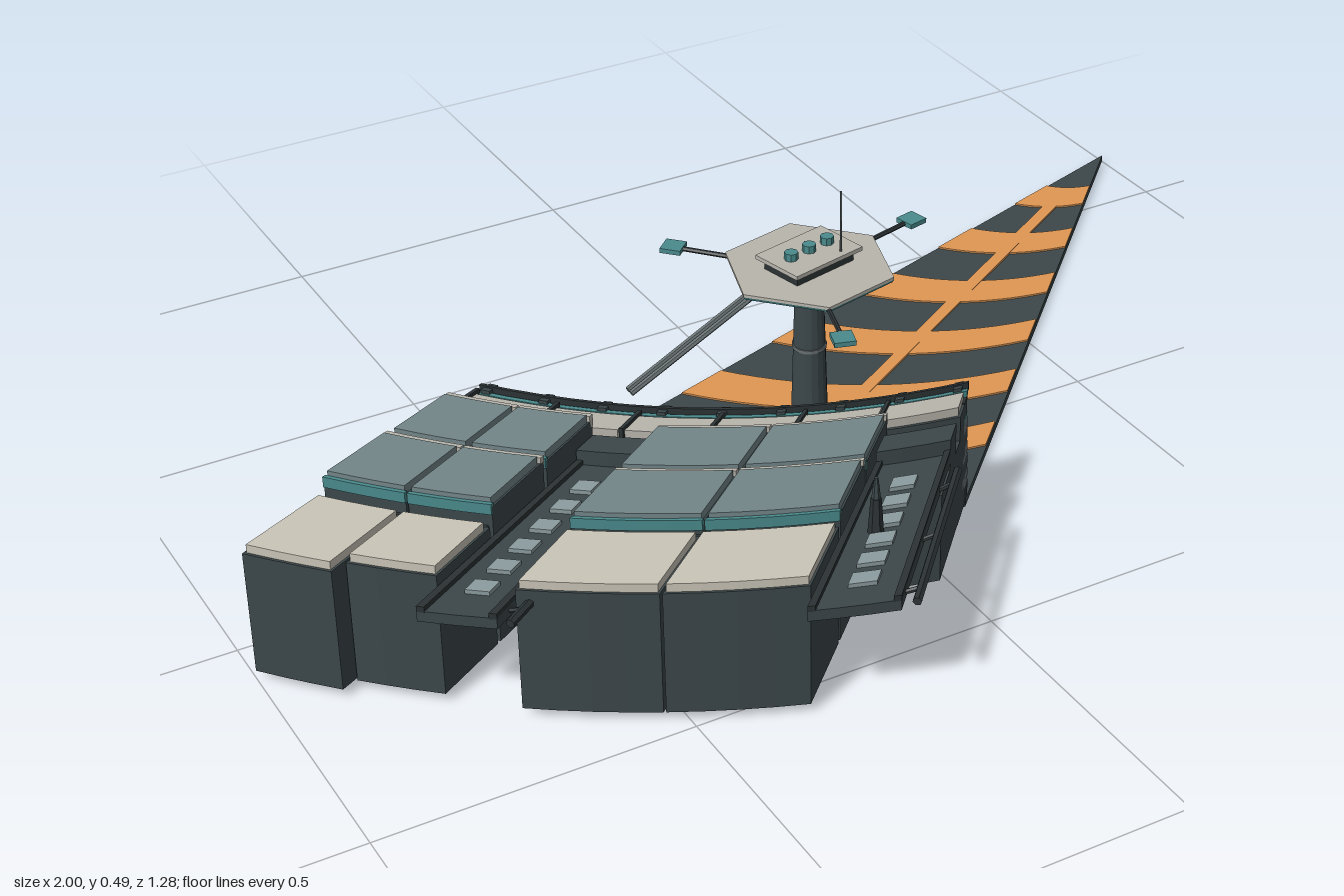
import * as THREE from 'three';

const C = { slate: 0x3c474a, dark: 0x2c3335, mid: 0x687072, light: 0xb9b5ad, beige: 0xcac5b8,
  glass: 0x738689, teal: 0x4a8a8c, orange: 0xdf9753, pane: 0x8c9c9f };
const mats = {};
const mat = c => mats[c] ??= new THREE.MeshStandardMaterial({ color: C[c], flatShading: true });

// Ground plan: u runs along the curved front, v runs outward from it
const apex = [1, -0.645];
const mix = (a, b, t) => [a[0] + (b[0] - a[0]) * t, a[1] + (b[1] - a[1]) * t];
function plan(u, v) {
  const p = mix(mix([-0.51, -0.155], [0.14, 0.214], u), mix([-1, 0.08], [-0.22, 0.605], u), v);
  const k = 4 * u * (1 - u);
  return [p[0] - 0.037 * k, p[1] + 0.065 * k];
}
// Floor plan: s runs from the pointed tip to the curved front
const floorPlan = (u, s) => mix(apex, plan(u, 0), s);

// Curved solid over a patch of a plan, between heights y0 and y1
function patch(parent, name, color, [u0, u1], [v0, v1], [y0, y1], f = plan) {
  const n = Math.max(1, Math.ceil((u1 - u0) * 16)), pos = [];
  const at = (i, v, y) => { const p = f(u0 + (u1 - u0) * i / n, v); return [p[0], y, p[1]]; };
  const quad = (a, b, c, d) => pos.push(...a, ...b, ...c, ...a, ...c, ...d);
  for (let i = 0; i < n; i++) {
    const j = i + 1;
    quad(at(i, v0, y1), at(i, v1, y1), at(j, v1, y1), at(j, v0, y1));
    quad(at(i, v0, y0), at(j, v0, y0), at(j, v1, y0), at(i, v1, y0));
    quad(at(i, v1, y0), at(j, v1, y0), at(j, v1, y1), at(i, v1, y1));
    quad(at(i, v0, y0), at(i, v0, y1), at(j, v0, y1), at(j, v0, y0));
  }
  quad(at(0, v0, y0), at(0, v1, y0), at(0, v1, y1), at(0, v0, y1));
  quad(at(n, v0, y0), at(n, v0, y1), at(n, v1, y1), at(n, v1, y0));
  const g = new THREE.BufferGeometry();
  g.setAttribute('position', new THREE.Float32BufferAttribute(pos, 3));
  g.computeVertexNormals();
  return mesh(parent, name, color, g);
}
function mesh(parent, name, color, geo, x = 0, y = 0, z = 0) {
  const m = new THREE.Mesh(geo, mat(color));
  m.name = name;
  m.position.set(x, y, z);
  parent.add(m);
  return m;
}
// Straight round bar between two points
function rod(parent, name, color, a, b, r) {
  const p = new THREE.Vector3(...a), q = new THREE.Vector3(...b), d = q.clone().sub(p);
  const m = mesh(parent, name, color, new THREE.CylinderGeometry(r, r, d.length(), 6));
  m.position.copy(p).add(q).multiplyScalar(0.5);
  m.quaternion.setFromUnitVectors(new THREE.Vector3(0, 1, 0), d.normalize());
  return m;
}
function group(parent, name) {
  const g = new THREE.Group();
  g.name = name;
  parent.add(g);
  return g;
}

// Pointed floor with painted arcs and a centre line
function addFloor(root) {
  const g = group(root, 'floor');
  patch(g, 'floorSlab', 'slate', [0, 1], [0.001, 1.01], [0, 0.013], floorPlan);
  for (let i = 0; i < 6; i++) {
    const s = 0.875 - 0.141 * i;
    patch(g, 'floorStripe', 'orange', [0.003, 0.997], [s - 0.06, s], [0.012, 0.016], floorPlan);
  }
  const a = floorPlan(0.5, 0.12), b = floorPlan(0.5, 0.74);
  const line = mesh(g, 'floorCentreLine', 'orange',
    new THREE.BoxGeometry(Math.hypot(b[0] - a[0], b[1] - a[1]), 0.004, 0.022),
    (a[0] + b[0]) / 2, 0.0145, (a[1] + b[1]) / 2);
  line.rotation.y = -Math.atan2(b[1] - a[1], b[0] - a[0]);
}

// Stepped curved front facing the floor
function addTerraces(root) {
  const g = group(root, 'terraces');
  const bands = [[0.013, 0.045, 'dark'], [0.045, 0.07, 'mid'], [0.07, 0.1, 'slate'], [0.1, 0.125, 'mid'],
    [0.125, 0.155, 'slate'], [0.155, 0.175, 'mid'], [0.175, 0.185, 'teal'], [0.185, 0.215, 'dark']];
  bands.forEach(([y0, y1, c], i) => patch(g, 'terrace', c, [0, 1], [0.007 * i, 0.09], [y0, y1]));
  patch(g, 'rimRail', 'dark', [0, 1], [0.025, 0.035], [0.22, 0.235]);
  patch(g, 'rimTrim', 'teal', [0, 1], [0.04, 0.055], [0.215, 0.226]);
  for (let i = 0; i < 9; i++) {
    const u = 0.01 + i * 0.12;
    patch(g, 'rimPost', 'slate', [u, u + 0.018], [0.01, 0.05], [0.185, 0.232]);
  }
}

// Building rows with roof tiles on top
function addBuildings(root) {
  const g = group(root, 'buildings');
  const wings = [
    { cuts: [0, 0.145, 0.29], ends: [1, 0.95], lift: 0.012 },
    { cuts: [0.415, 0.635, 0.86], ends: [0.98, 0.98], lift: 0 }
  ];
  const rows = [[0.17, 0.41, 0.236, 'glass'], [0.425, 0.68, 0.24, 'glass'], [0.695, 1, 0.222, 'beige']];
  patch(g, 'frontRow', 'slate', [0, 1], [0.06, 0.16], [0.013, 0.213]);
  for (let i = 0; i < 6; i++) {
    const u = i / 6;
    patch(g, 'frontRoof', 'light', [u + 0.006, u + 1 / 6 - 0.006], [0.065, 0.15], [0.21, 0.228]);
    patch(g, 'frontRoofRib', 'dark', [u, u + 0.008], [0.05, 0.16], [0.21, 0.234]);
  }
  for (const { cuts, ends, lift } of wings) {
    patch(g, 'wingCore', 'dark', [cuts[0] + 0.012, cuts[2] - 0.012], [0.15, 0.9], [0.02, 0.22]);
    rows.forEach(([v0, v1, top, c], r) => {
      const h = r < 2 ? top + lift : top;
      for (let k = 0; k < 2; k++) {
        const end = r === 2 ? ends[k] : v1;
        const a = cuts[k], b = cuts[k + 1] - 0.004;
        patch(g, 'wingBlock', 'slate', [a, b], [v0, end], [0.015, h]);
        patch(g, 'roofTile', c, [a + 0.004, b - 0.004], [v0 + 0.018, end - 0.008], [h - 0.005, h + 0.014]);
        if (r < 2) {
          patch(g, 'roofTrim', 'light', [a, b], [v0 - 0.004, v0 + 0.012], [h - 0.01, h + 0.01]);
          patch(g, 'roofEdge', 'teal', [a, b], [v1 - 0.008, v1 + 0.004], [h - 0.012, h + 0.006]);
        }
      }
    });
  }
  // Recessed blocks beneath the decks
  patch(g, 'recessBlock', 'slate', [0.285, 0.42], [0.15, 0.55], [0.015, 0.17]);
  patch(g, 'recessBlock', 'slate', [0.85, 1], [0.15, 0.45], [0.015, 0.17]);
}

// Overhanging decks with a row of skylights and a long side beam
function addDeck(root, u0, u1, v0, v1) {
  const g = group(root, 'overhangingDeck');
  const um = (u0 + u1) / 2, w = u1 - u0;
  patch(g, 'deckBase', 'dark', [u0 + 0.02, u1 - 0.02], [v0, v1 - 0.06], [0.168, 0.182]);
  patch(g, 'deckSlab', 'slate', [u0, u1], [v0, v1], [0.182, 0.2]);
  for (const u of [u0, u1 - 0.012]) patch(g, 'deckCurb', 'dark', [u, u + 0.012], [v0, v1], [0.198, 0.208]);
  for (let i = 0; i < 6; i++) {
    const v = v0 + 0.1 + i * (v1 - v0 - 0.15) / 6;
    patch(g, 'skylight', 'pane', [um - w * 0.16, um + w * 0.16], [v, v + 0.055], [0.198, 0.207]);
  }
  patch(g, 'deckBackWall', 'slate', [u0, u1], [v0 - 0.09, v0], [0.168, 0.225]);
  const a = plan(u1 + 0.025, v0 + 0.1), b = plan(u1 + 0.025, v1 + 0.02);
  rod(g, 'sideBeam', 'dark', [a[0], 0.2, a[1]], [b[0], 0.2, b[1]], 0.007);
  for (const t of [0.1, 0.5, 0.9]) {
    const p = plan(u1 - 0.005, v0 + 0.1 + t * (v1 - v0 - 0.1)), q = mix(a, b, t);
    rod(g, 'beamBracket', 'dark', [p[0], 0.19, p[1]], [q[0], 0.2, q[1]], 0.004);
  }
}

// Control tower with a six-sided platform
function addTower(root) {
  const g = group(root, 'tower');
  g.position.set(-0.01, 0, -0.025);
  mesh(g, 'towerBase', 'slate', new THREE.CylinderGeometry(0.034, 0.036, 0.03, 16), 0, 0.028, 0);
  mesh(g, 'towerColumn', 'slate', new THREE.CylinderGeometry(0.023, 0.032, 0.31, 16), 0, 0.168, 0);
  mesh(g, 'towerCollar', 'mid', new THREE.CylinderGeometry(0.028, 0.028, 0.006, 16), 0, 0.215, 0);
  const head = group(g, 'towerHead');
  head.rotation.y = THREE.MathUtils.degToRad(13);
  const hex = (name, c, rt, rb, y0, y1) =>
    mesh(head, name, c, new THREE.CylinderGeometry(rt, rb, y1 - y0, 6).rotateY(Math.PI / 6 + Math.PI / 3), 0, (y0 + y1) / 2, 0);
  hex('headNeck', 'dark', 0.08, 0.045, 0.315, 0.333);
  hex('headUnderside', 'slate', 0.13, 0.08, 0.333, 0.35);
  hex('headRim', 'teal', 0.138, 0.135, 0.35, 0.355);
  hex('headPlatform', 'light', 0.138, 0.138, 0.355, 0.36);
  mesh(head, 'controlCabin', 'dark', new THREE.BoxGeometry(0.12, 0.018, 0.075), 0, 0.369, 0);
  mesh(head, 'cabinRoof', 'light', new THREE.BoxGeometry(0.14, 0.007, 0.095), 0, 0.381, 0);
  for (const x of [-0.038, 0, 0.038])
    mesh(head, 'roofVent', 'teal', new THREE.CylinderGeometry(0.011, 0.011, 0.014, 8), x, 0.39, 0);
  rod(head, 'antenna', 'mid', [0.035, 0.38, 0.035], [0.035, 0.49, 0.035], 0.0018);
  // Arms with sensor pads
  for (let i = 0; i < 3; i++) {
    const arm = group(head, 'sensorArm');
    arm.rotation.y = i * Math.PI * 2 / 3;
    rod(arm, 'armBar', 'dark', [0.12, 0.353, 0], [0.225, 0.355, 0], 0.004);
    mesh(arm, 'sensorPad', 'teal', new THREE.BoxGeometry(0.034, 0.008, 0.034), 0.225, 0.355, 0);
  }
  // Bridge to the roof
  for (const d of [-0.006, 0.006])
    rod(g, 'bridge', 'mid', [-0.1, 0.338, d], [-0.33, 0.24, 0.02 + d], 0.005);
}

export function createModel() {
  const root = new THREE.Group();
  root.name = 'stadiumSegment';
  addFloor(root);
  addTerraces(root);
  addBuildings(root);
  addDeck(root, 0.29, 0.41, 0.27, 1.06);
  addDeck(root, 0.86, 1, 0.32, 1.04);
  addTower(root);
  // Small roof mast
  mesh(root, 'mastFoot', 'dark', new THREE.CylinderGeometry(0.008, 0.012, 0.06, 6), -0.18, 0.23, 0.46);
  mesh(root, 'mastTop', 'slate', new THREE.CylinderGeometry(0.003, 0.007, 0.035, 6), -0.18, 0.277, 0.46);
  return root;
}
